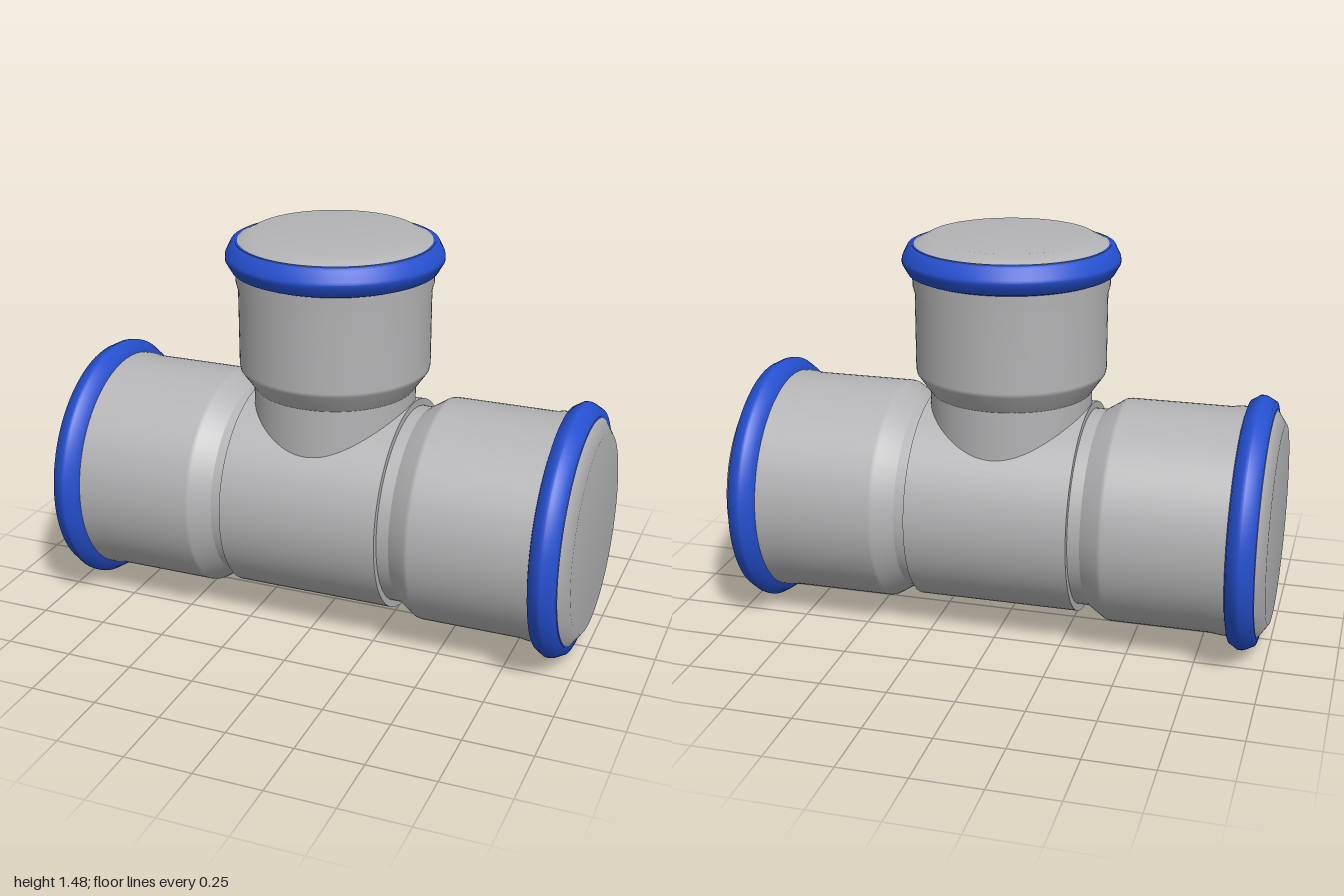
import * as THREE from 'three';

const SEGMENTS = 96;
const AXIS_Y = 0.465;

const grey = new THREE.MeshStandardMaterial({ color: 0xb4b4b6 });
grey.name = 'pipe grey';
const blue = new THREE.MeshStandardMaterial({ color: 0x2550d0 });
blue.name = 'seal blue';

// Revolves a [radius, height] profile, listed upwards, around y
function lathe(name, profile, material) {
  const points = profile.map(([r, y]) => new THREE.Vector2(r, y));
  const mesh = new THREE.Mesh(new THREE.LatheGeometry(points, SEGMENTS), material);
  mesh.name = name;
  return mesh;
}

// Socket pointing up +y: neck, flared barrel, seal ring and closed end
function socket(name, d) {
  const group = new THREE.Group();
  group.name = name;
  const { neckR, barrelR, lipR, ringR, capR, start, flare, barrel, lip, ringLow, ringHigh, end } = d;
  const mid = (ringLow + ringHigh) / 2;
  const shoulderR = ringR - 0.02;
  group.add(
    lathe('neck', [[neckR, start], [neckR, flare]], grey),
    lathe('barrel', [
      [neckR, flare], [barrelR - 0.003, barrel - 0.005], [barrelR, barrel + 0.01],
      [barrelR, lip - 0.03], [lipR, lip], [lipR, ringHigh],
    ], grey),
    lathe('end cap', [[lipR - 0.005, ringHigh - 0.002], [capR, end], [0, end]], grey),
    // Seal ring halves meet in a sharp ridge
    lathe('seal ring lower', [
      [lipR - 0.005, ringLow], [shoulderR, ringLow + 0.008], [ringR, mid - 0.012], [ringR, mid],
    ], blue),
    lathe('seal ring upper', [
      [ringR, mid], [ringR - 0.002, mid + 0.01], [shoulderR, ringHigh - 0.008], [lipR - 0.008, ringHigh],
    ], blue),
  );
  return group;
}

export function createModel() {
  const model = new THREE.Group();
  model.name = 'pipe tee';

  // Horizontal run: central sleeve with flat shoulders
  const run = new THREE.Group();
  run.name = 'run';
  run.position.y = AXIS_Y;
  const sleeve = new THREE.Mesh(new THREE.CylinderGeometry(0.393, 0.393, 0.6, SEGMENTS), grey);
  sleeve.name = 'central sleeve';
  sleeve.rotation.z = Math.PI / 2;
  run.add(sleeve);

  // Matching sockets on both ends
  for (const side of [1, -1]) {
    const arm = socket(side > 0 ? 'left socket' : 'right socket', {
      neckR: 0.367, barrelR: 0.415, lipR: 0.42, ringR: 0.465, capR: 0.365,
      start: 0.28, flare: 0.345, barrel: 0.42, lip: 0.83,
      ringLow: 0.862, ringHigh: 0.967, end: 1,
    });
    arm.rotation.z = -side * Math.PI / 2;
    run.add(arm);
  }
  model.add(run);

  // Upright branch, its neck sunk into the sleeve
  model.add(socket('branch socket', {
    neckR: 0.297, barrelR: 0.349, lipR: 0.357, ringR: 0.393, capR: 0.3,
    start: 0.6, flare: 0.905, barrel: 0.98, lip: 1.3,
    ringLow: 1.34, ringHigh: 1.45, end: 1.475,
  }));
  return model;
}
